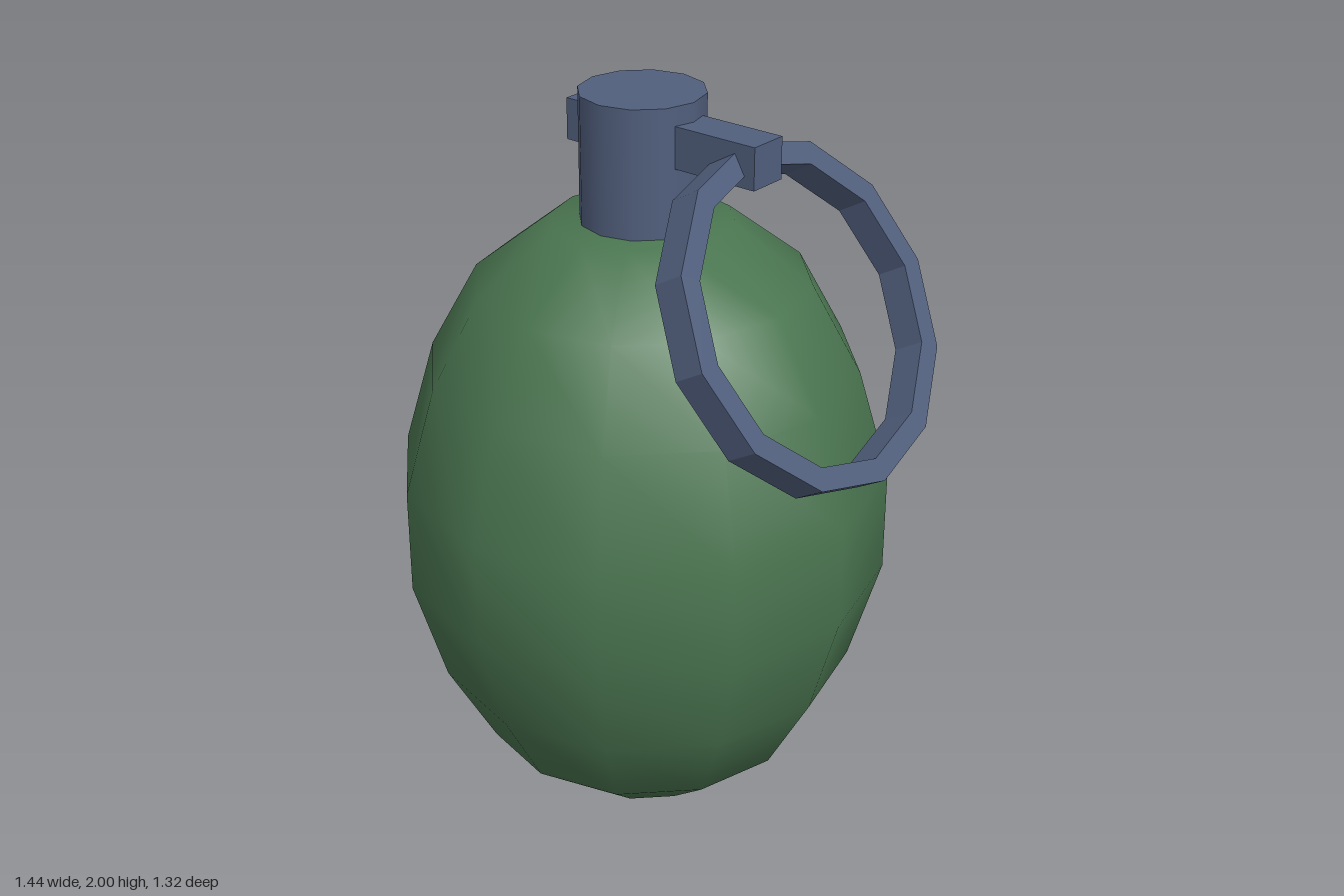
import * as THREE from 'three';

const SIDES = 12;
const CENTRE_X = -0.06;

const profile = (pairs) => pairs.map(([r, y]) => new THREE.Vector2(r, y));

function addPart(group, name, geometry, material, x, y) {
  const mesh = new THREE.Mesh(geometry, material);
  mesh.name = name;
  mesh.position.set(x, y, 0);
  group.add(mesh);
  return mesh;
}

export function createModel() {
  const group = new THREE.Group();
  group.name = 'grenade';

  const green = new THREE.MeshStandardMaterial({ color: 0x4a7550 });
  green.name = 'olive green';
  const steel = new THREE.MeshStandardMaterial({ color: 0x515f7d });
  steel.name = 'blue steel';

  // Smooth twelve-sided egg-shaped body, closed at both ends
  const body = new THREE.LatheGeometry(profile([
    [0, 0], [0.24, 0], [0.445, 0.165], [0.575, 0.4], [0.66, 0.69],
    [0.66, 0.975], [0.575, 1.265], [0.445, 1.5], [0.24, 1.66], [0, 1.66],
  ]), SIDES);
  addPart(group, 'body', body, green, CENTRE_X, 0);

  // Neck on top of the body
  const neck = new THREE.CylinderGeometry(0.165, 0.165, 0.36, SIDES);
  addPart(group, 'neck', neck, steel, CENTRE_X, 1.82);

  // Pin passing through the neck
  addPart(group, 'pin', new THREE.BoxGeometry(0.6, 0.11, 0.11), steel, 0.035, 1.895);

  // Faceted pull ring with a rectangular section, hanging tilted from the pin
  const w = 0.045;
  const ring = new THREE.LatheGeometry(profile([
    [0.448, -w], [0.448, w], [0.388, w], [0.388, -w], [0.448, -w],
  ]), SIDES).toNonIndexed();
  ring.computeVertexNormals();
  addPart(group, 'pullRing', ring, steel, 0.453, 1.525).rotation.z = -Math.PI / 3;

  return group;
}
